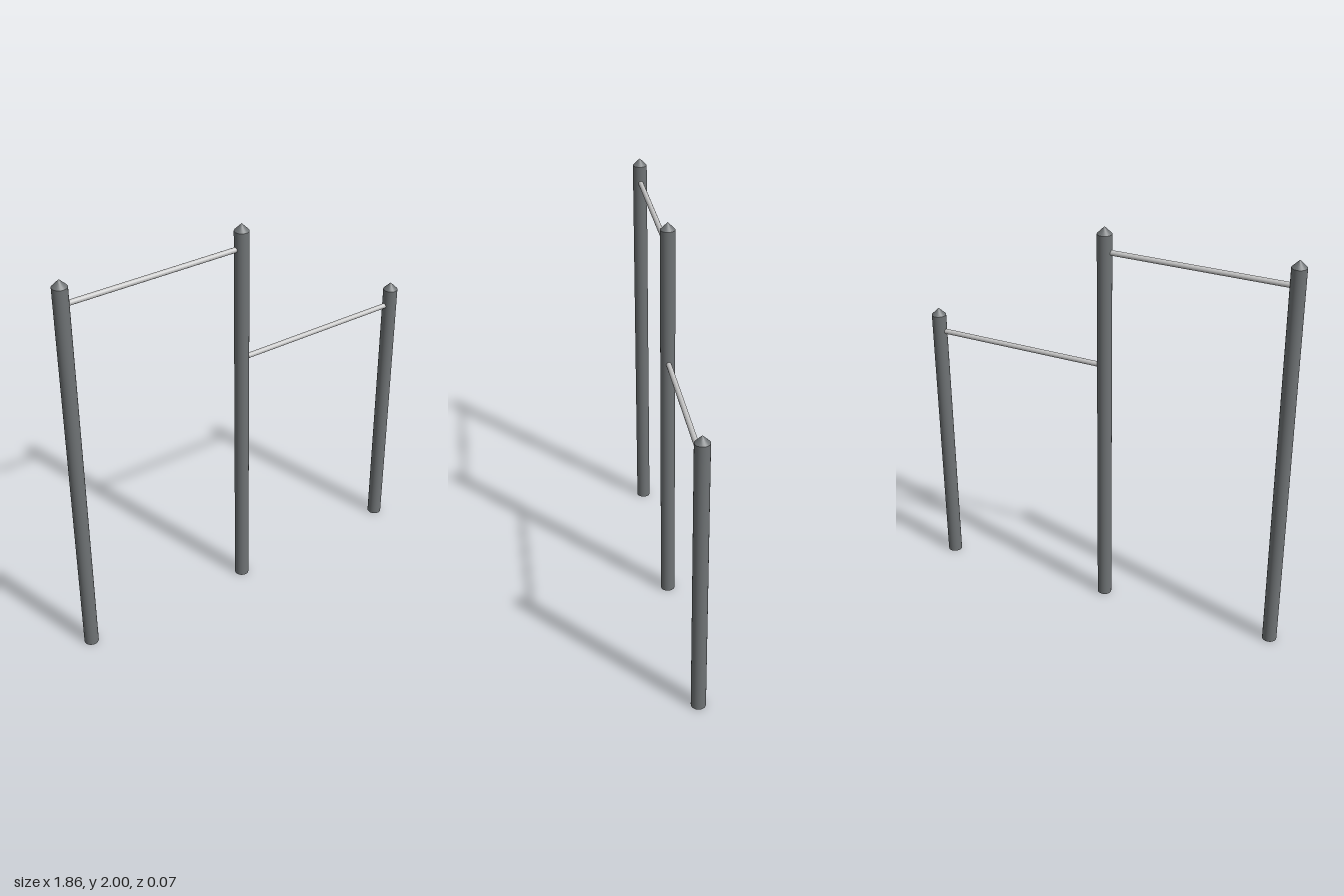
import * as THREE from 'three';

const POST_R = 0.035, CAP_H = 0.035, BAR_R = 0.0125, SPAN = 0.897;

export function createModel() {
  const group = new THREE.Group();
  group.name = 'pullUpBars';
  const postGrey = new THREE.MeshStandardMaterial({ color: 0x6f7375 });
  postGrey.name = 'dark grey post';
  const barSteel = new THREE.MeshStandardMaterial({ color: 0xc6c6c6 });
  barSteel.name = 'light steel bar';

  const add = (parent, name, geometry, material, x, y) => {
    const mesh = new THREE.Mesh(geometry, material);
    mesh.name = name;
    mesh.position.set(x, y, 0);
    parent.add(mesh);
  };

  // Upright post with a pointed cap
  const addPost = (name, x, height) => {
    const post = new THREE.Group();
    post.name = name;
    post.position.x = x;
    const shaft = height - CAP_H;
    add(post, 'shaft', new THREE.CylinderGeometry(POST_R, POST_R, shaft, 24), postGrey, 0, shaft / 2);
    add(post, 'cap', new THREE.ConeGeometry(POST_R, CAP_H, 24, 1, true), postGrey, 0, height - CAP_H / 2);
    group.add(post);
  };
  addPost('rightPost', -SPAN, 2);
  addPost('middlePost', 0, 2);
  addPost('leftPost', SPAN, 1.43);

  // Horizontal grip bars between neighbouring posts
  const barGeometry = new THREE.CylinderGeometry(BAR_R, BAR_R, SPAN - 2 * POST_R + 0.01, 20);
  barGeometry.rotateZ(Math.PI / 2);
  add(group, 'highBar', barGeometry, barSteel, -SPAN / 2, 1.88);
  add(group, 'lowBar', barGeometry, barSteel, SPAN / 2, 1.31);

  return group;
}
